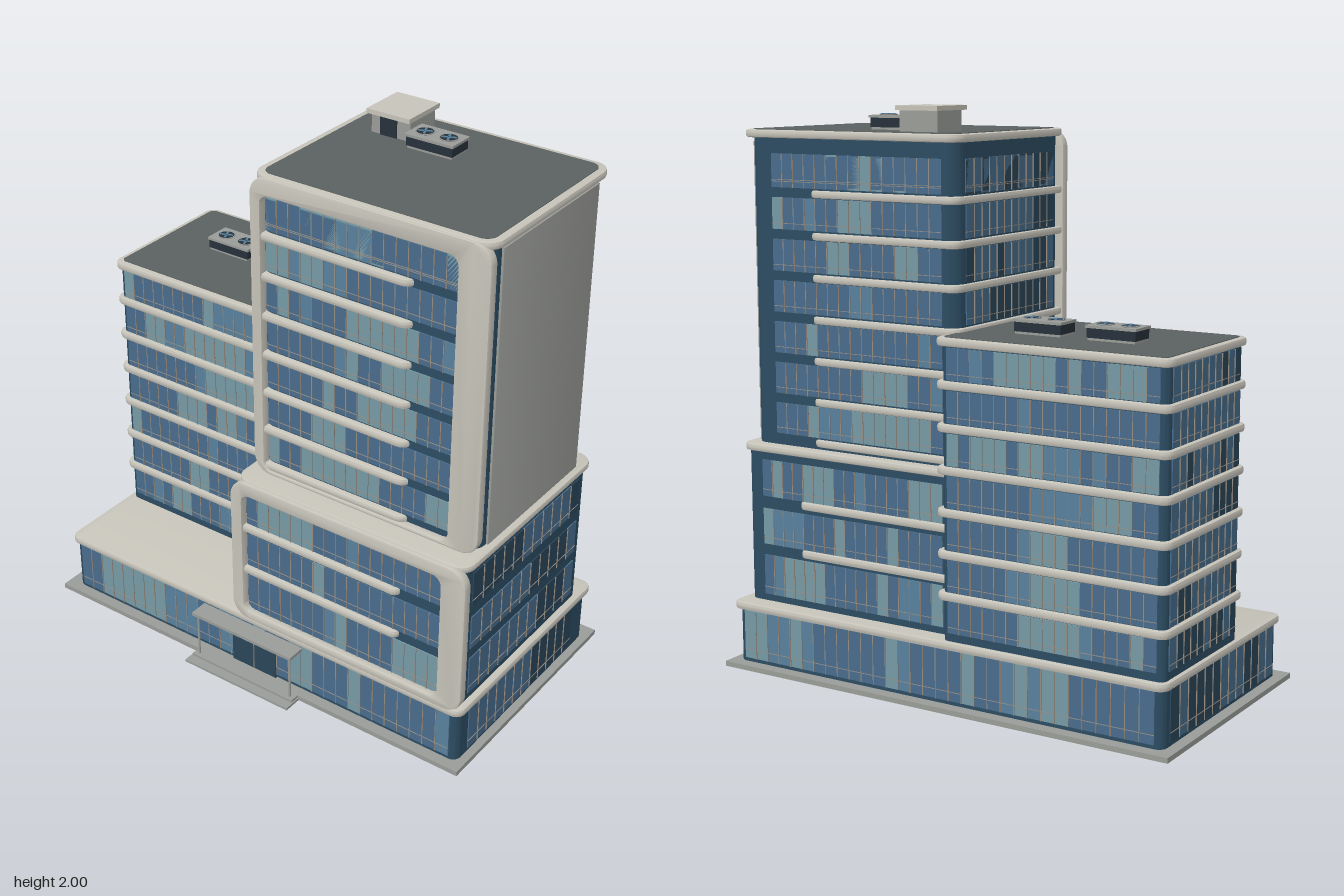
import * as THREE from 'three';
import { mergeGeometries, toCreasedNormals } from 'three/addons/utils/BufferGeometryUtils.js';

const mat = (name, color) => Object.assign(new THREE.MeshStandardMaterial({ color }), { name });

export function createModel() {
  const M = {
    trim: mat('pale concrete', 0xc6c3b9),
    grey: mat('grey panel', 0x9a9c98),
    roof: mat('roof membrane', 0x5b6161),
    wall: mat('dark blue wall', 0x2c4c62),
    blue: mat('blue glass', 0x486c8c),
    mid: mat('soft blue glass', 0x587f9b),
    light: mat('light glass', 0x7599a5),
    dark: mat('dark glass', 0x2a4558),
    bar: mat('mullion', 0x948c82),
    black: mat('louvre', 0x26313a),
  };
  const model = new THREE.Group();
  let seed = 7;
  const rnd = () => (seed = (seed * 16807) % 2147483647) / 2147483647;

  function add(name, geo, material, parent = model) {
    const mesh = new THREE.Mesh(geo, material);
    mesh.name = name;
    parent.add(mesh);
    return mesh;
  }
  // Box given by its limits on each axis
  function boxGeo(x0, x1, y0, y1, z0, z1) {
    return new THREE.BoxGeometry(x1 - x0, y1 - y0, z1 - z0)
      .translate((x0 + x1) / 2, (y0 + y1) / 2, (z0 + z1) / 2);
  }
  function roundRect(P, x0, x1, y0, y1, r) {
    const p = new P();
    p.absarc(x1 - r, y1 - r, r, 0, Math.PI / 2);
    p.absarc(x0 + r, y1 - r, r, Math.PI / 2, Math.PI);
    p.absarc(x0 + r, y0 + r, r, Math.PI, Math.PI * 1.5);
    p.absarc(x1 - r, y0 + r, r, Math.PI * 1.5, Math.PI * 2);
    p.closePath();
    return p;
  }
  // Horizontal plate or block with rounded corners and optional soft edges
  function slab(name, material, [x0, x1, z0, z1], y0, y1, r, b = 0) {
    const shape = roundRect(THREE.Shape, x0 + b, x1 - b, -z1 + b, -z0 - b, r);
    const geo = new THREE.ExtrudeGeometry(shape, {
      depth: y1 - y0 - 2 * b, bevelEnabled: b > 0, bevelSize: b, bevelThickness: b, bevelSegments: 2, curveSegments: 6,
    }).rotateX(-Math.PI / 2).translate(0, y0 + b, 0);
    return add(name, toCreasedNormals(geo, 0.6), material);
  }
  // Upright frame with a rounded opening
  function frame(name, [x0, x1, y0, y1], [a0, a1, b0, b1], z0, z1, r, ri) {
    const b = 0.006;
    const shape = roundRect(THREE.Shape, x0 + b, x1 - b, y0 + b, y1 - b, r);
    shape.holes.push(roundRect(THREE.Path, a0 - b, a1 + b, b0 - b, b1 + b, ri));
    const geo = new THREE.ExtrudeGeometry(shape, {
      depth: z1 - z0 - 2 * b, bevelSize: b, bevelThickness: b, bevelSegments: 2, curveSegments: 8,
    }).translate(0, 0, z0 + b);
    add(name, toCreasedNormals(geo, 0.6), M.trim);
  }
  // Rows of glass panes and mullions; a0..a1 are limits along the wall
  const SIDES = { front: [0, 1], right: [Math.PI / 2, -1], back: [Math.PI, -1], left: [-Math.PI / 2, 1] };
  function glazing(name, side, plane, a0, a1, rows, step = 0.046) {
    const [turn, sign] = SIDES[side];
    const facing = side === 'front' || side === 'back';
    const start = sign > 0 ? a0 : -a1, width = a1 - a0, n = Math.round(width / step), w = width / n;
    const parts = { blue: [], mid: [], light: [], dark: [], bar: [] };
    for (const [y0, y1] of rows) {
      let kind = 'blue';
      for (let i = 0; i < n; i++) {
        const x = start + i * w, t = rnd();
        if (rnd() < 0.6) kind = t < 0.6 ? 'blue' : facing ? (t < 0.72 ? 'mid' : 'light') : 'dark';
        parts[kind].push(boxGeo(x, x + w, y0, y1, 0, 0.004));
        if (i) parts.bar.push(boxGeo(x - 0.0015, x + 0.0015, y0, y1, 0, 0.007));
      }
      const ty = y0 + (y1 - y0) * 0.18;
      parts.bar.push(boxGeo(start, start + width, ty, ty + 0.002, 0, 0.006));
    }
    const g = new THREE.Group();
    g.name = name;
    g.rotation.y = turn;
    g.position[facing ? 'z' : 'x'] = plane;
    for (const k in parts) if (parts[k].length) add(k === 'bar' ? 'mullions' : k + 'Panes', mergeGeometries(parts[k]), M[k], g);
    model.add(g);
  }

  // Ground plinth, entrance steps and podium
  add('plinth', boxGeo(-0.89, 0.89, 0, 0.018, -0.51, 0.44), M.grey);
  add('lowerStep', boxGeo(-0.23, 0.23, 0, 0.009, 0.43, 0.51), M.grey);
  add('upperStep', boxGeo(-0.225, 0.225, 0, 0.018, 0.43, 0.475), M.grey);
  slab('podiumWall', M.wall, [-0.85, 0.86, -0.465, 0.4], 0.018, 0.22, 0.03);
  slab('podiumSlab', M.trim, [-0.865, 0.875, -0.485, 0.412], 0.212, 0.24, 0.03, 0.008);
  const podRow = [[0.032, 0.208]];
  glazing('podiumFrontGlass', 'front', 0.4, -0.82, 0.83, podRow, 0.052);
  glazing('podiumBackGlass', 'back', -0.465, -0.82, 0.83, podRow, 0.052);
  glazing('podiumRightGlass', 'right', 0.86, -0.36, 0.33, podRow, 0.06);
  glazing('podiumLeftGlass', 'left', -0.85, -0.42, 0.36, podRow, 0.06);

  // Entrance door and canopy
  add('entranceDoor', boxGeo(-0.088, 0.105, 0.018, 0.15, 0.4, 0.409), M.dark);
  add('doorDivider', boxGeo(0.007, 0.01, 0.018, 0.15, 0.405, 0.411), M.bar);
  add('canopy', boxGeo(-0.22, 0.22, 0.192, 0.204, 0.4, 0.475), M.grey);
  for (const x of [-0.205, 0.205]) {
    add('canopyPost', new THREE.CylinderGeometry(0.004, 0.004, 0.18, 8).translate(x, 0.105, 0.458), M.grey);
  }

  // Left wing
  const wing = [-0.85, -0.02, -0.465, 0.07];
  slab('wingWall', M.wall, wing, 0.23, 1.25, 0.025);
  const wingRows = [], F = 0.1425;
  for (let i = 0; i < 7; i++) {
    const top = 0.252 + (i + 1) * F;
    wingRows.push([top - F + 0.017, top - 0.018]);
    slab('wingFloorBand', M.trim, [-0.866, 0, -0.482, 0.086], top - 0.014, top + 0.014, 0.03, 0.008);
  }
  glazing('wingFrontGlass', 'front', 0.07, -0.825, -0.04, wingRows);
  glazing('wingBackGlass', 'back', -0.465, -0.825, -0.045, wingRows);
  glazing('wingLeftGlass', 'left', -0.85, -0.435, 0.045, wingRows);
  slab('wingRoof', M.roof, [-0.845, -0.025, -0.462, 0.062], 1.258, 1.266, 0.02);

  // Middle block
  slab('middleWall', M.wall, [-0.05, 0.85, -0.412, 0.385], 0.23, 0.8, 0.04);
  slab('middleTopSlab', M.trim, [-0.068, 0.868, -0.428, 0.402], 0.785, 0.81, 0.05, 0.008);
  for (const y of [0.435, 0.61]) {
    slab('middleFloorBand', M.trim, [-0.062, 0.61, -0.427, 0.406], y - 0.014, y + 0.014, 0.02, 0.008);
  }
  const midRows = [[0.265, 0.41], [0.45, 0.58], [0.625, 0.757]];
  frame('middleFrame', [-0.077, 0.875, 0.235, 0.806], [-0.03, 0.78, 0.265, 0.755], 0.38, 0.415, 0.06, 0.04);
  glazing('middleFrontGlass', 'front', 0.385, -0.025, 0.775, midRows);
  glazing('middleBackGlass', 'back', -0.412, 0.01, 0.775, midRows);
  glazing('middleRightGlass', 'right', 0.85, -0.355, 0.33, midRows, 0.06);
  glazing('middleLeftGlass', 'left', -0.05, 0.09, 0.34, midRows);

  // Tower
  slab('towerWall', M.wall, [-0.025, 0.835, -0.375, 0.295], 0.8, 1.9, 0.05);
  slab('towerSidePanel', M.grey, [0.7, 0.843, -0.34, 0.235], 0.81, 1.87, 0.002);
  slab('towerTopSlab', M.trim, [-0.042, 0.857, -0.402, 0.318], 1.885, 1.912, 0.055, 0.008);
  slab('towerRoof', M.roof, [-0.015, 0.83, -0.378, 0.293], 1.905, 1.914, 0.04);
  const towerRows = [];
  for (let i = 0; i < 7; i++) {
    const y = 0.833 + i * 0.1442;
    towerRows.push([y + 0.018, y + 0.128]);
    slab('towerFloorBand', M.trim, [-0.037, 0.575, -0.391, 0.318], y - 0.014, y + 0.012, 0.035, 0.008);
  }
  towerRows.push([1.722, 1.832]);
  frame('towerFrame', [-0.04, 0.855, 0.808, 1.908], [0, 0.74, 0.823, 1.845], 0.288, 0.323, 0.06, 0.04);
  glazing('towerFrontGlass', 'front', 0.295, 0.006, 0.734, towerRows);
  glazing('towerBackGlass', 'back', -0.375, 0.03, 0.735, towerRows);
  glazing('towerLeftGlass', 'left', -0.025, -0.32, 0.24, towerRows);

  // Stair penthouse
  add('penthouse', boxGeo(0.085, 0.237, 1.91, 1.99, -0.315, -0.172), M.grey);
  add('penthouseRoof', boxGeo(0.077, 0.245, 1.984, 2, -0.33, -0.152), M.trim);
  add('penthouseDoor', boxGeo(0.12, 0.185, 1.912, 1.976, -0.172, -0.168), M.black);

  // Rooftop cooling units with twin fans
  function coolingUnit(x, y, z) {
    const g = new THREE.Group();
    g.name = 'coolingUnit';
    g.position.set(x, y, z);
    add('unitBase', boxGeo(-0.085, 0.085, 0, 0.008, -0.045, 0.045), M.grey, g);
    add('unitBody', boxGeo(-0.088, 0.088, 0.008, 0.04, -0.047, 0.047), M.black, g);
    add('unitLid', boxGeo(-0.092, 0.092, 0.04, 0.049, -0.051, 0.051), M.grey, g);
    for (const fx of [-0.045, 0.045]) {
      add('fanWell', new THREE.CylinderGeometry(0.03, 0.03, 0.004, 24).translate(fx, 0.05, 0), M.black, g);
      add('fanRim', new THREE.TorusGeometry(0.03, 0.002, 6, 24).rotateX(Math.PI / 2).translate(fx, 0.051, 0), M.grey, g);
      for (let k = 0; k < 4; k++) {
        const blade = boxGeo(0.004, 0.025, 0.052, 0.054, -0.004, 0.004).rotateY(0.4 + k * Math.PI / 2).translate(fx, 0, 0);
        add('fanBlade', blade, M.mid, g);
      }
    }
    model.add(g);
  }
  coolingUnit(-0.553, 1.266, -0.24);
  coolingUnit(-0.28, 1.266, -0.24);
  coolingUnit(0.337, 1.914, -0.175);

  return model;
}
